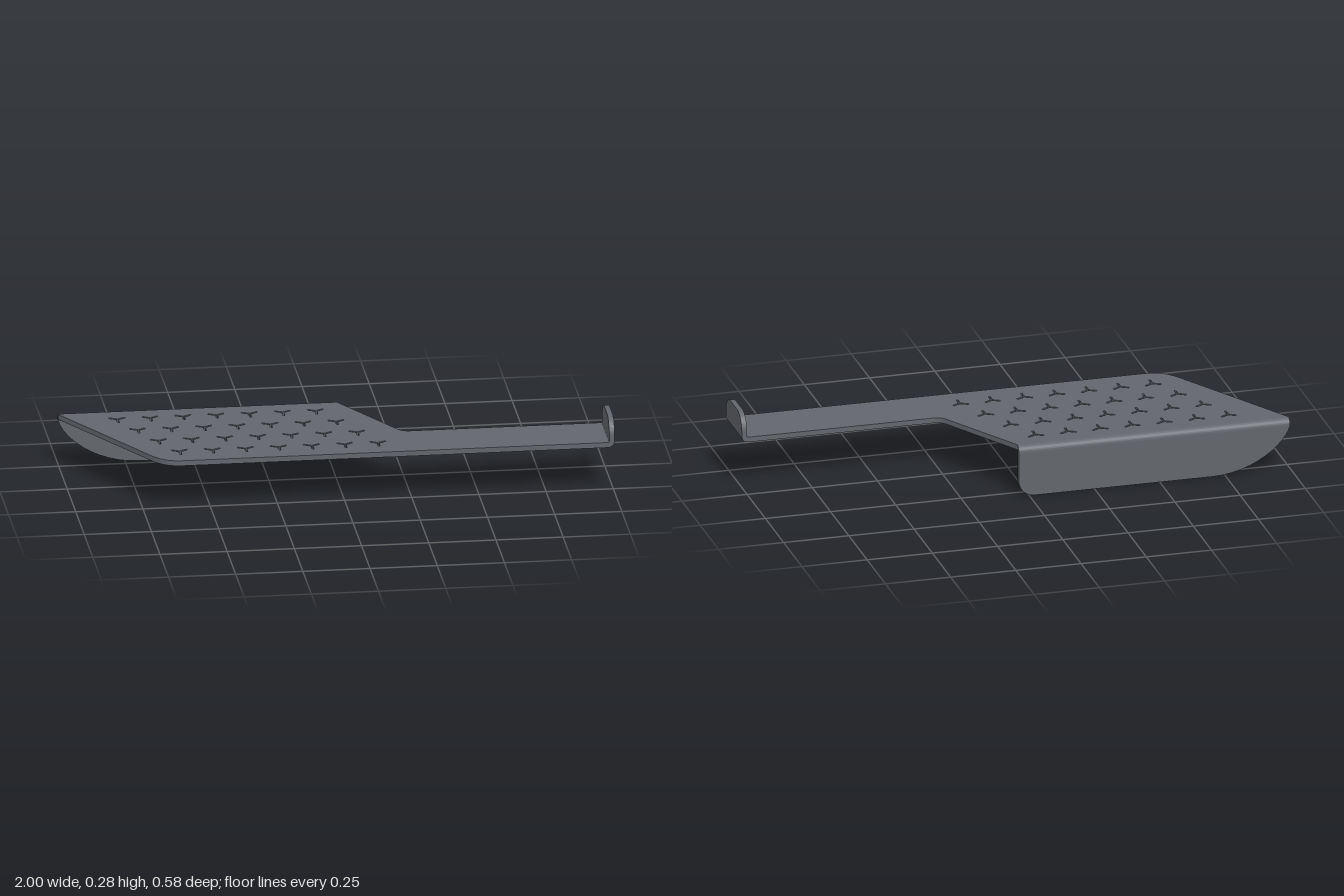
import * as THREE from 'three';
import { toCreasedNormals } from 'three/addons/utils/BufferGeometryUtils.js';

const T = 0.02; // sheet thickness
const TOP = 0.197, BASE = TOP - T;
const R = 0.025; // outer bend radius

function extrude(shape, depth) {
  return new THREE.ExtrudeGeometry(shape, { depth, bevelEnabled: false, curveSegments: 12 });
}

// quarter ring section of a folded sheet edge
function bendSection(cx, cy, start) {
  const s = new THREE.Shape();
  s.absarc(cx, cy, R, start, start + Math.PI / 2, false);
  s.absarc(cx, cy, R - T, start + Math.PI / 2, start, true);
  s.closePath();
  return s;
}

// small three-armed slot
function slot(cx, cy) {
  const pts = [], len = 0.034, w = 0.004;
  for (let i = 0; i < 3; i++) {
    const a = Math.PI / 6 + i * Math.PI * 2 / 3;
    const c = Math.cos(a), s = Math.sin(a);
    pts.push(new THREE.Vector2(cx + c * len + s * w, cy + s * len - c * w));
    pts.push(new THREE.Vector2(cx + c * len - s * w, cy + s * len + c * w));
    const b = a + Math.PI / 3;
    pts.push(new THREE.Vector2(cx + Math.cos(b) * w * 1.15, cy + Math.sin(b) * w * 1.15));
  }
  return new THREE.Path(pts.reverse());
}

export function createModel() {
  const group = new THREE.Group();
  const material = new THREE.MeshStandardMaterial({ color: 0x62666c });
  const add = (name, geometry) => {
    const mesh = new THREE.Mesh(toCreasedNormals(geometry, 0.5), material);
    mesh.name = name;
    group.add(mesh);
  };

  // slanted blade and handle strip in one flat sheet (shape y = -z)
  const plate = new THREE.Shape();
  plate.moveTo(-1, 0.268);
  plate.lineTo(-0.715, -0.222);
  plate.quadraticCurveTo(-0.675, -0.291, -0.61, -0.291);
  plate.lineTo(0.975, -0.291);
  plate.lineTo(0.975, -0.072);
  plate.lineTo(0.265, -0.072);
  plate.quadraticCurveTo(0.237, -0.072, 0.222, -0.046);
  plate.lineTo(0.04, 0.268);
  plate.closePath();
  for (let row = 0; row < 4; row++) {
    for (let i = 0; i < 7; i++) {
      plate.holes.push(slot(-0.79 + row * 0.0615 + i * 0.123, 0.187 - row * 0.125));
    }
  }
  add('perforatedPlate', extrude(plate, T).rotateX(-Math.PI / 2).translate(0, BASE, 0));

  // rear fold
  const rearY = TOP - R;
  add('rearBend', extrude(bendSection(0.268, rearY, 0), 1.04).rotateY(Math.PI / 2).translate(-1, 0, 0));

  // hanging rear flap with a swept end and a rounded corner
  const flap = new THREE.Shape();
  flap.moveTo(-1, rearY);
  flap.bezierCurveTo(-0.98, 0.1, -0.86, 0, -0.7, 0);
  flap.lineTo(-0.02, 0);
  flap.absarc(-0.02, 0.06, 0.06, -Math.PI / 2, 0, false);
  flap.lineTo(0.04, rearY);
  flap.closePath();
  add('rearFlap', extrude(flap, T).translate(0, 0, -0.293));

  // upturned tip of the handle
  const hookY = BASE + R;
  add('tipBend', extrude(bendSection(0.975, hookY, -Math.PI / 2), 0.219).translate(0, 0, 0.072));
  const hook = new THREE.Shape();
  hook.moveTo(-0.291, hookY);
  hook.lineTo(-0.072, hookY);
  hook.lineTo(-0.072, 0.22);
  hook.absarc(-0.137, 0.22, 0.065, 0, Math.PI / 2, false);
  hook.absarc(-0.226, 0.22, 0.065, Math.PI / 2, Math.PI, false);
  hook.closePath();
  add('handleTip', extrude(hook, T).rotateY(Math.PI / 2).translate(0.98, 0, 0));

  return group;
}
